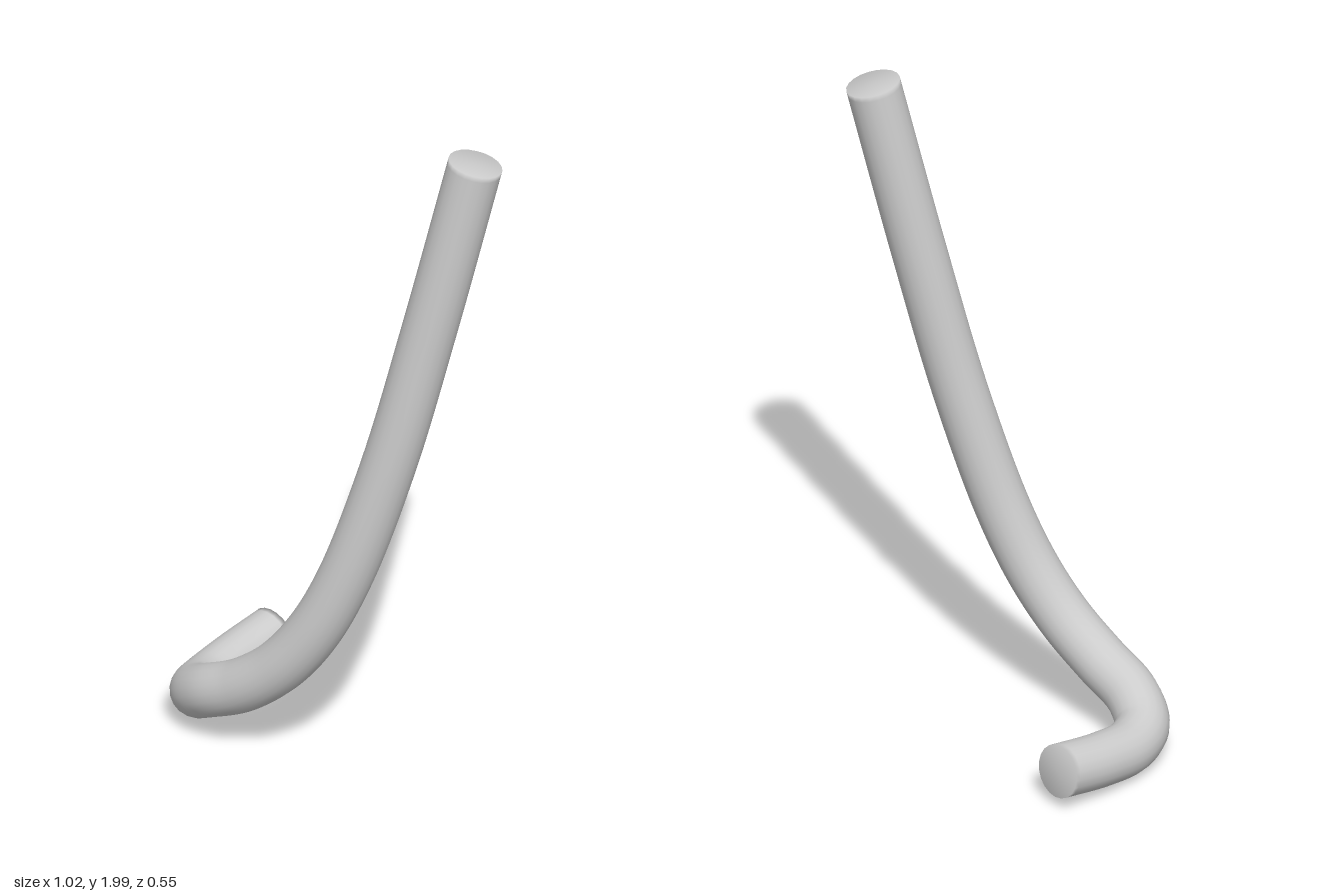
import * as THREE from 'three';
import { mergeVertices } from 'three/addons/utils/BufferGeometryUtils.js';

const RADIUS = 0.079, SIDES = 20, STEPS = 160;

// Closed tube along a curve: flat ends share their rim with the wall, so shading flows over it
function closedTube(curve) {
  const tube = new THREE.TubeGeometry(curve, STEPS, RADIUS, SIDES, false);
  const positions = Array.from(tube.attributes.position.array);
  const index = Array.from(tube.index.array);
  const startCentre = positions.length / 3;
  for (const t of [0, 1]) positions.push(...curve.getPointAt(t).toArray());
  const lastRing = STEPS * (SIDES + 1);
  for (let j = 0; j < SIDES; j++) {
    index.push(startCentre, j, j + 1);
    index.push(startCentre + 1, lastRing + j + 1, lastRing + j);
  }
  const geometry = new THREE.BufferGeometry();
  geometry.setAttribute('position', new THREE.Float32BufferAttribute(positions, 3));
  geometry.setIndex(index);
  const welded = mergeVertices(geometry, 1e-5);
  welded.computeVertexNormals();
  return welded;
}

export function createModel() {
  const group = new THREE.Group();
  group.name = 'bentRod';

  // Centre line: short foot from the back, tight bend, then a long rising shaft
  const path = new THREE.CatmullRomCurve3([
    [-0.398, 0.118, -0.265],
    [-0.425, 0.095, -0.1],
    [-0.43, 0.086, 0.03],
    [-0.402, 0.106, 0.12],
    [-0.32, 0.155, 0.174],
    [-0.2, 0.215, 0.188],
    [-0.08, 0.31, 0.181],
    [0.02, 0.44, 0.162],
    [0.11, 0.63, 0.132],
    [0.222, 1.0, 0.077],
    [0.32, 1.44, 0.015],
    [0.43, 1.982, -0.059],
  ].map((p) => new THREE.Vector3(...p)));

  const rod = new THREE.Mesh(
    closedTube(path),
    new THREE.MeshStandardMaterial({ color: 0xcccccc }),
  );
  rod.name = 'rod';
  group.add(rod);
  return group;
}
